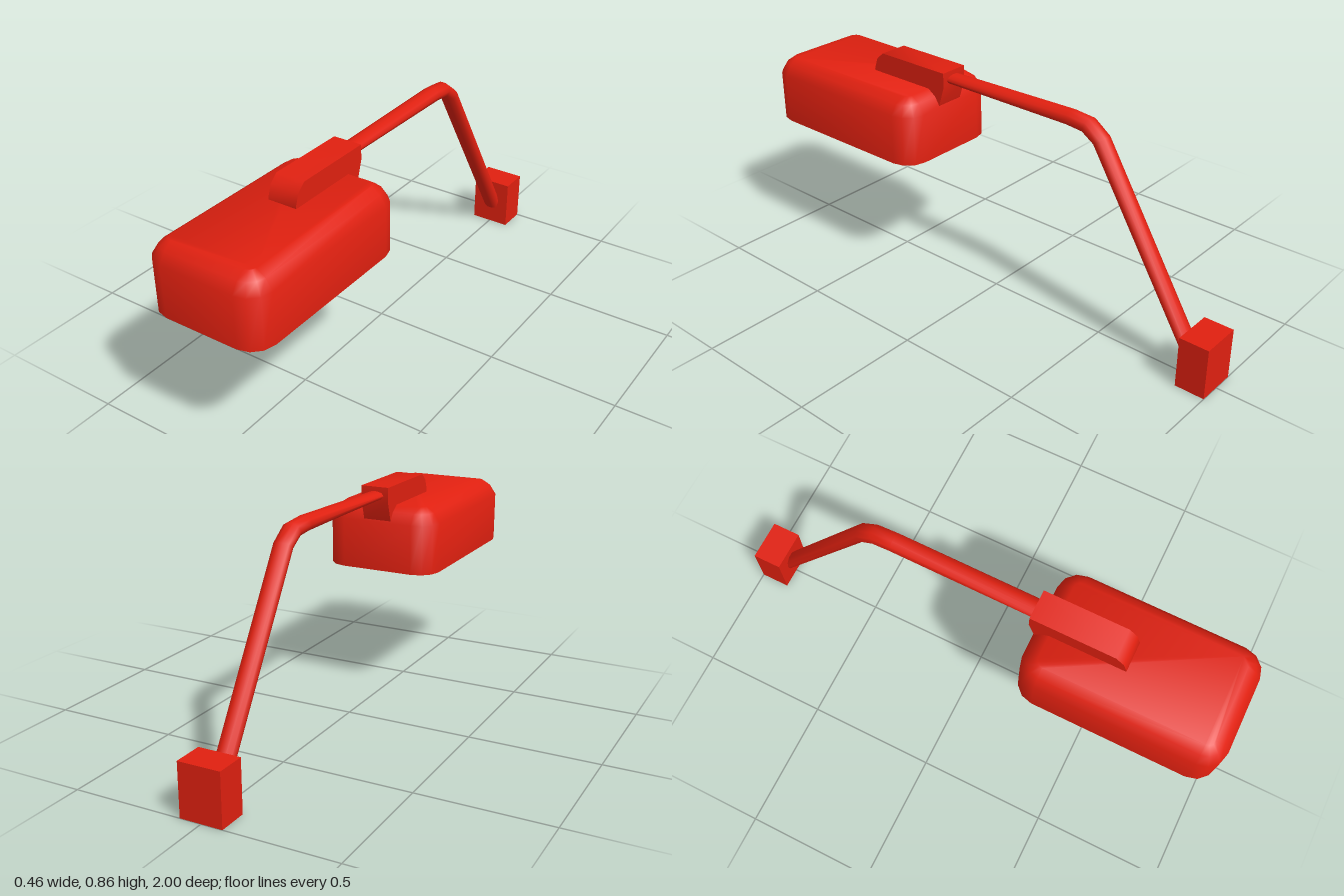
import * as THREE from 'three';
import { toCreasedNormals } from 'three/addons/utils/BufferGeometryUtils.js';

const red = new THREE.MeshStandardMaterial({ color: 0xe02010 });
const blue = new THREE.MeshStandardMaterial({ color: 0x080878 });

// Skin a list of closed rings; optionally close the last one with a fan
function loft(rings, capEnd, crease) {
  const n = rings[0].length, pos = [], idx = [];
  rings.forEach(r => r.forEach(p => pos.push(p.x, p.y, p.z)));
  for (let j = 0; j < rings.length - 1; j++) {
    for (let i = 0; i < n; i++) {
      const k = (i + 1) % n, a = j * n + i, b = j * n + k;
      idx.push(a, a + n, b, b, a + n, b + n);
    }
  }
  if (capEnd) {
    const last = (rings.length - 1) * n;
    for (let i = 1; i < n - 1; i++) idx.push(last, last + i + 1, last + i);
  }
  const g = new THREE.BufferGeometry();
  g.setAttribute('position', new THREE.Float32BufferAttribute(pos, 3));
  g.setIndex(idx);
  return toCreasedNormals(g, crease);
}

// Rounded rectangle of the lamp head in the xz plane, shrunk by an inset
function headRing(y, inset) {
  const r = 0.085 - inset, w = 0.23 - inset - r, d = 0.385 - inset - r, steps = 3;
  const ring = [];
  [[1, 1], [-1, 1], [-1, -1], [1, -1]].forEach(([sx, sz], q) => {
    for (let s = 0; s <= steps; s++) {
      const t = (q + s / steps) * Math.PI / 2;
      ring.push(new THREE.Vector3(sx * w + r * Math.cos(t), y, 0.615 + sz * d + r * Math.sin(t)));
    }
  });
  return ring;
}

export function createModel() {
  const group = new THREE.Group();
  const add = (name, geometry, material) => {
    const m = new THREE.Mesh(geometry, material);
    m.name = name;
    group.add(m);
    return m;
  };

  // Lamp head: recess wall, rim, outer wall, bevelled top
  const profile = [[0.56, 0.04], [0.52, 0.03], [0.52, 0], [0.715, 0], [0.755, 0.025], [0.778, 0.058]];
  add('lampHead', loft(profile.map(([y, inset]) => headRing(y, inset)), true, 0.9), red);

  // Light panel recessed into the underside
  const panel = new THREE.ShapeGeometry(
    new THREE.Shape(headRing(0, 0.04).map(p => new THREE.Vector2(p.x, p.z))));
  panel.rotateX(Math.PI / 2);
  add('lightPanel', panel, blue).position.y = 0.56;

  // Bracket: side outline in (z, y), extruded across x
  const outline = [[0.21, 0.858], [0.21, 0.8], [0.235, 0.72], [0.3, 0.72], [0.57, 0.75],
    [0.578, 0.785], [0.562, 0.83], [0.53, 0.858]];
  const bracket = new THREE.ExtrudeGeometry(
    new THREE.Shape(outline.map(([z, y]) => new THREE.Vector2(-z, y))),
    { depth: 0.114, bevelEnabled: false });
  bracket.translate(0, 0, -0.057).rotateY(Math.PI / 2);
  add('bracket', toCreasedNormals(bracket, 0.8), red);

  // Bent arm: oval sections along (z, y), with half thickness
  const path = [[0.25, 0.823, 0.017], [-0.34, 0.827, 0.029], [-0.415, 0.82, 0.03],
    [-0.472, 0.78, 0.028], [-0.9, 0.085, 0.027]];
  const rings = path.map(([z, y, h], i) => {
    const a = path[Math.max(i - 1, 0)], b = path[Math.min(i + 1, path.length - 1)];
    const d = new THREE.Vector2(b[0] - a[0], b[1] - a[1]).normalize();
    return Array.from({ length: 10 }, (_, k) => {
      const t = k / 10 * Math.PI * 2, s = h * Math.sin(t);
      return new THREE.Vector3(0.037 * Math.cos(t), y - d.x * s, z + d.y * s);
    });
  });
  add('arm', loft(rings, true, 1.2), red);

  // Wall mount block
  add('wallMount', new THREE.BoxGeometry(0.162, 0.2, 0.115), red).position.set(0, 0.1, -0.9425);

  return group;
}
